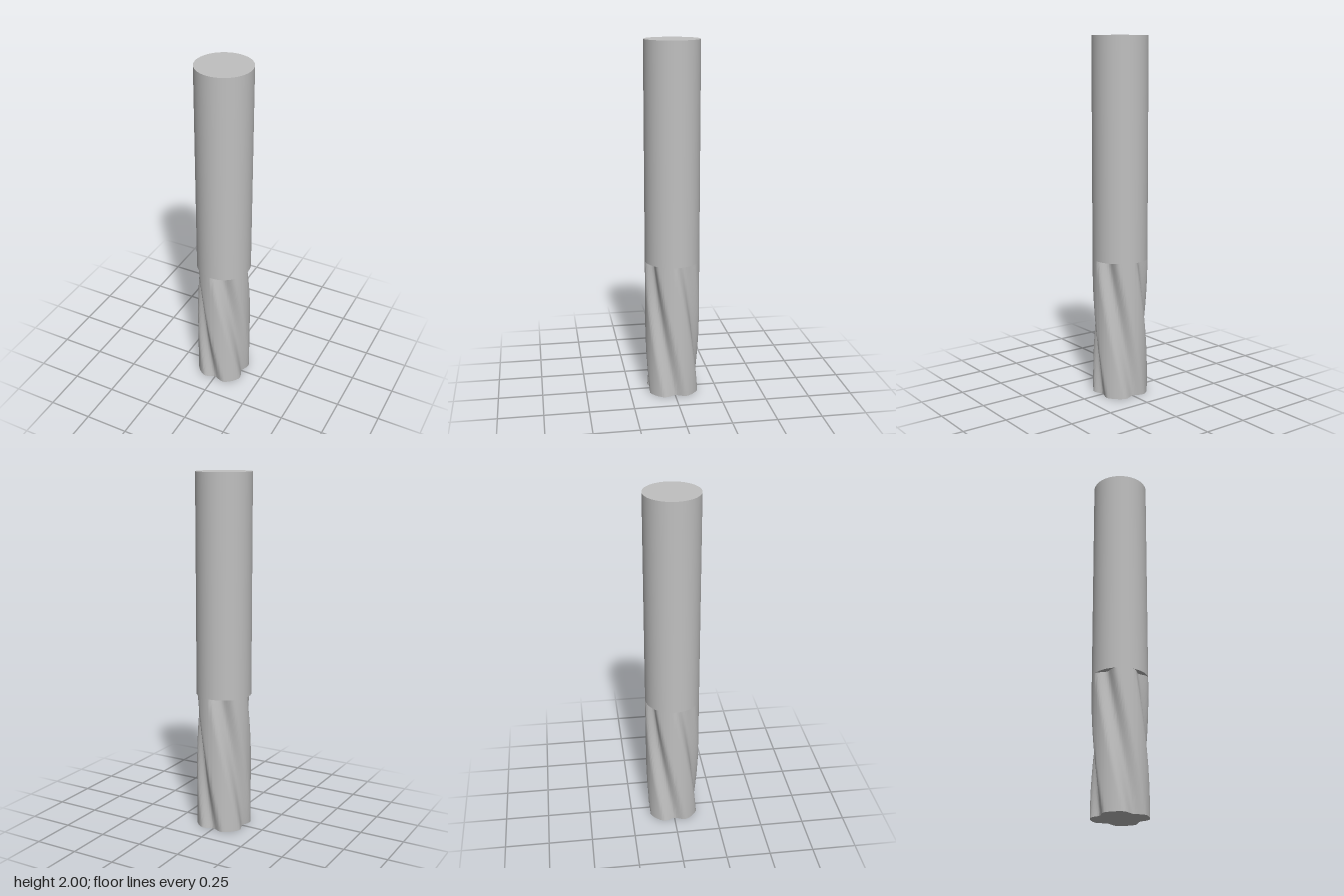
import * as THREE from 'three';
import { toCreasedNormals } from 'three/addons/utils/BufferGeometryUtils.js';

const RADIUS = 0.154, HEIGHT = 2, FLUTE_HEIGHT = 0.775;
const FLUTES = 4, GROOVE_DEPTH = 0.034;
const HALF_WIDTH = THREE.MathUtils.degToRad(29);
const TWIST = THREE.MathUtils.degToRad(-68);

// Radius of the fluted section at an angle measured from a groove centre
function fluteRadius(angle) {
  const step = (Math.PI * 2) / FLUTES;
  const off = angle - Math.round(angle / step) * step;
  if (Math.abs(off) >= HALF_WIDTH) return RADIUS;
  return RADIUS - GROOVE_DEPTH * Math.cos((off / HALF_WIDTH) * Math.PI / 2) ** 2;
}

// Cylinder whose outline is grooved and twisted along its height
function flutedGeometry() {
  const geo = new THREE.CylinderGeometry(1, 1, FLUTE_HEIGHT, 144, 40);
  geo.translate(0, FLUTE_HEIGHT / 2, 0);
  const p = geo.attributes.position;
  for (let i = 0; i < p.count; i++) {
    const x = p.getX(i), y = p.getY(i), z = p.getZ(i);
    if (Math.hypot(x, z) < 0.5) continue; // cap centres
    const angle = Math.atan2(x, z);
    const r = fluteRadius(angle - TWIST * y / FLUTE_HEIGHT);
    p.setXYZ(i, r * Math.sin(angle), y, r * Math.cos(angle));
  }
  return toCreasedNormals(geo, 0.7);
}

export function createModel() {
  const group = new THREE.Group();
  group.name = 'flutedCutter';
  const steel = new THREE.MeshStandardMaterial({ color: 0xc0c0c0 });
  steel.name = 'steel grey';

  // Plain round shank
  const shankHeight = HEIGHT - FLUTE_HEIGHT;
  const shank = new THREE.Mesh(new THREE.CylinderGeometry(RADIUS, RADIUS, shankHeight, 96), steel);
  shank.name = 'shank';
  shank.position.y = FLUTE_HEIGHT + shankHeight / 2;

  // Helical cutting end
  const flutes = new THREE.Mesh(flutedGeometry(), steel);
  flutes.name = 'flutedEnd';

  group.add(shank, flutes);
  return group;
}
